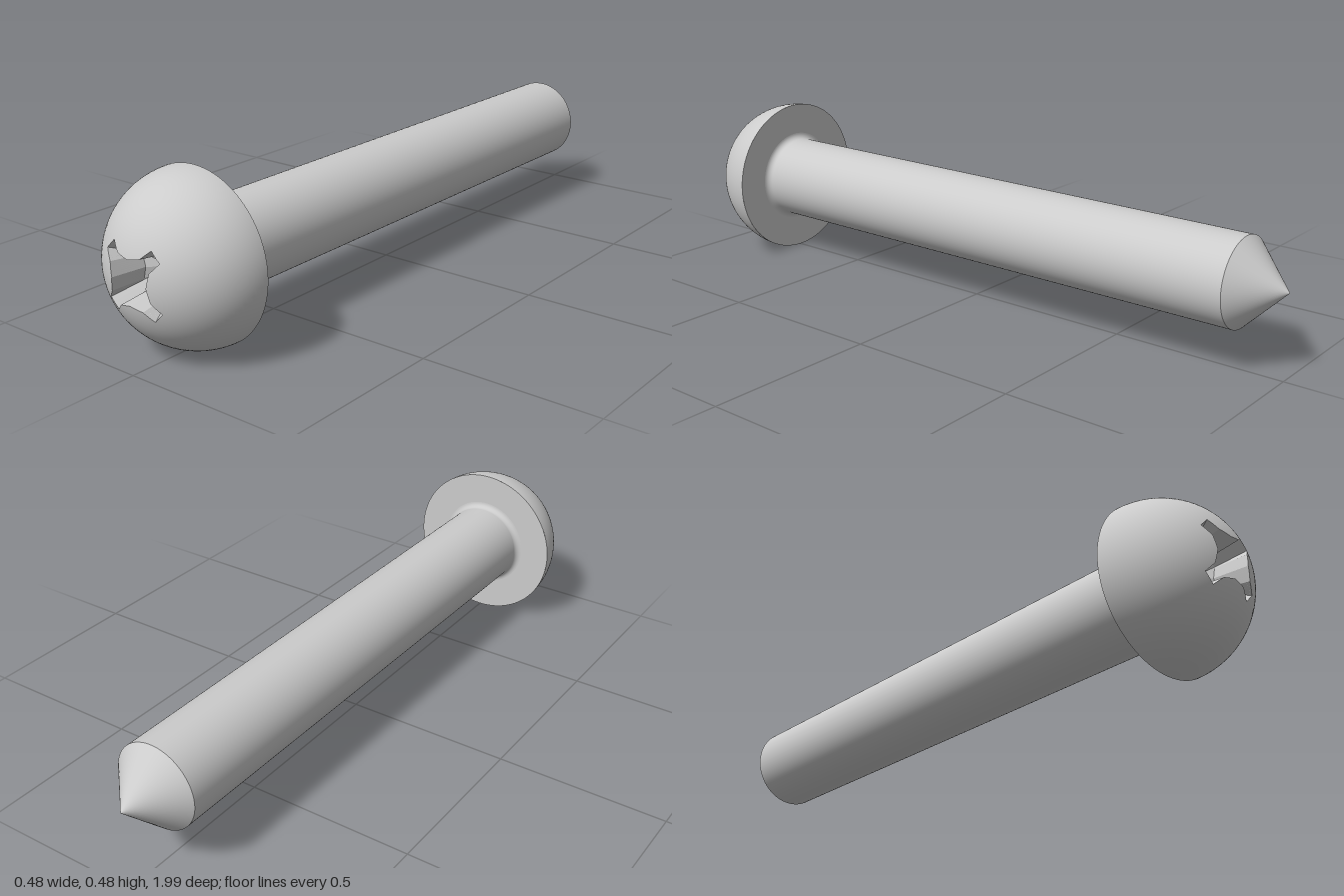
import * as THREE from 'three';

const AXIS_Y = 0.239;        // height of the screw's axis
const R = 0.2385, CZ = 0.7635; // dome sphere radius and centre
const HEAD_Z = 0.77;         // underside of the head
const SHAFT_R = 0.125;

const material = new THREE.MeshStandardMaterial({ color: 0xcccccc });
const facetMaterial = new THREE.MeshStandardMaterial({ color: 0xcccccc, flatShading: true });

// Repeat one quadrant of a cross outline around the axis
function cross(quadrant) {
  const pts = [];
  for (let q = 0; q < 4; q++) {
    for (const [x, y] of quadrant) {
      pts.push(new THREE.Vector2(x, y).rotateAround(new THREE.Vector2(), q * Math.PI / 2));
    }
  }
  return pts;
}

// Split every edge of a closed outline into n pieces
function subdivide(pts, n) {
  return pts.flatMap((p, i) => {
    const next = pts[(i + 1) % pts.length];
    return Array.from({ length: n }, (_, k) => p.clone().lerp(next, k / n));
  });
}

const opening = subdivide(cross([[0.059, 0], [0.067, 0.038], [0.09, 0.064], [0.064, 0.09], [0.038, 0.067]]), 8);
const floorRing = subdivide(cross([[0.045, 0], [0.053, 0.032], [0.055, 0.036], [0.036, 0.055], [0.032, 0.053]]), 8);

const onDome = (p) => new THREE.Vector3(p.x, p.y, CZ + Math.sqrt(R * R - p.lengthSq()));

// Skin a list of closed loops, each of the same length
function loft(loops) {
  const n = loops[0].length, position = [], index = [];
  for (const loop of loops) for (const v of loop) position.push(v.x, v.y, v.z);
  for (let j = 0; j < loops.length - 1; j++) {
    for (let i = 0; i < n; i++) {
      const a = j * n + i, b = j * n + (i + 1) % n;
      index.push(a, a + n, b, b, a + n, b + n);
    }
  }
  const g = new THREE.BufferGeometry();
  g.setAttribute('position', new THREE.Float32BufferAttribute(position, 3));
  g.setIndex(index);
  return g;
}

// Spherical dome running from the cross opening out to the rim
function domeGeometry() {
  const steps = 28, loops = [];
  const rimPhi = Math.acos((HEAD_Z - CZ) / R);
  for (let j = 0; j <= steps; j++) {
    loops.push(opening.map((p) => {
      const phi = THREE.MathUtils.lerp(Math.asin(p.length() / R), rimPhi, j / steps);
      const a = p.angle(), r = R * Math.sin(phi);
      return new THREE.Vector3(r * Math.cos(a), r * Math.sin(a), CZ + R * Math.cos(phi));
    }));
  }
  const g = loft(loops);
  const pos = g.attributes.position, normal = [];
  for (let i = 0; i < pos.count; i++) {
    normal.push(pos.getX(i) / R, pos.getY(i) / R, (pos.getZ(i) - CZ) / R);
  }
  g.setAttribute('normal', new THREE.Float32BufferAttribute(normal, 3));
  return g;
}

// Tapered recess: sloping walls, then a shallow pointed floor
function recessGeometry() {
  const centre = new THREE.Vector3(0, 0, 0.86);
  const g = loft([
    floorRing.map(() => centre),
    floorRing.map((p) => new THREE.Vector3(p.x, p.y, 0.9)),
    opening.map(onDome),
  ]).toNonIndexed();
  g.computeVertexNormals();
  return g;
}

// Turned surface along z from [radius, z] points
function turned(profile) {
  return new THREE.LatheGeometry(profile.map(([r, z]) => new THREE.Vector2(r, z)), 96).rotateX(Math.PI / 2);
}

export function createModel() {
  const screw = new THREE.Group();
  screw.name = 'screw';
  const add = (name, geometry, mat = material) => {
    const mesh = new THREE.Mesh(geometry, mat);
    mesh.name = name;
    mesh.position.y = AXIS_Y;
    screw.add(mesh);
  };

  // Shaft, flaring into the head through a small fillet
  const fillet = 0.018;
  const shaft = [[SHAFT_R, -0.875], [SHAFT_R, 0.7]];
  for (let i = 0; i <= 8; i++) {
    const a = i / 8 * Math.PI / 2;
    shaft.push([SHAFT_R + fillet * (1 - Math.cos(a)), HEAD_Z - fillet * (1 - Math.sin(a))]);
  }

  add('headDome', domeGeometry());
  add('crossRecess', recessGeometry(), facetMaterial);
  add('headUnderside', turned([[SHAFT_R + fillet, HEAD_Z], [Math.sqrt(R * R - (HEAD_Z - CZ) ** 2), HEAD_Z]]));
  add('shaft', turned(shaft));
  add('pointedTip', turned([[0, -1], [SHAFT_R, -0.875]]));
  return screw;
}
